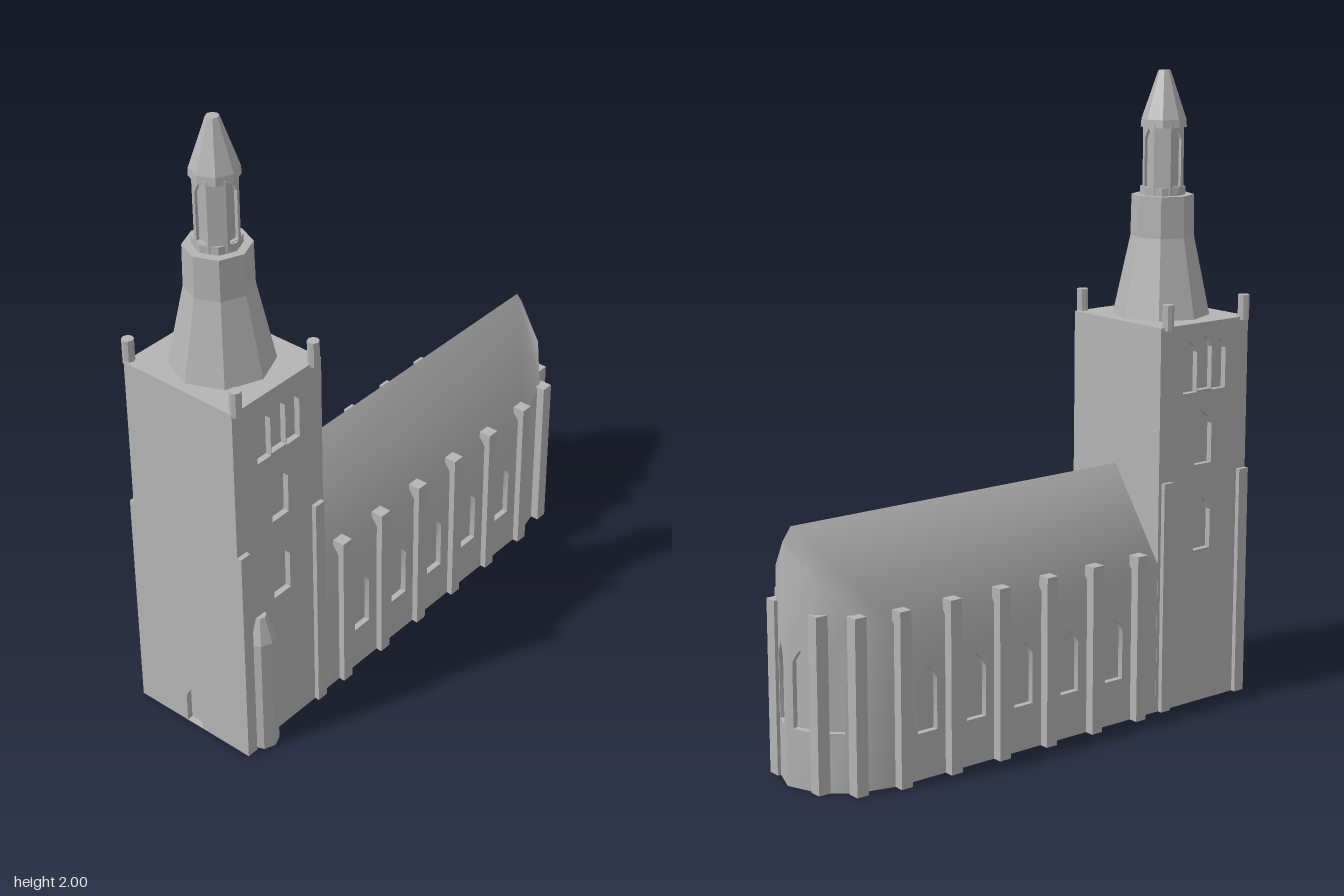
import * as THREE from 'three';
import { mergeGeometries, toCreasedNormals } from 'three/addons/utils/BufferGeometryUtils.js';

const stone = new THREE.MeshStandardMaterial({ color: 0xb4b4b4 });
stone.name = 'grey stone';

const ZC = -0.005; // long axis of the building

function add(parent, name, geo, x = 0, y = 0, z = 0) {
  const mesh = new THREE.Mesh(geo, stone);
  mesh.name = name;
  mesh.position.set(x, y, z);
  parent.add(mesh);
  return mesh;
}

// pointed-arch hole: centre u, width w, sill, shoulder and tip heights
function archHole([u, w, sill, shoulder, tip]) {
  const h = w / 2;
  return new THREE.Path([
    [u - h, sill], [u + h, sill], [u + h, shoulder], [u + h * 0.55, shoulder + (tip - shoulder) * 0.55],
    [u, tip], [u - h * 0.55, shoulder + (tip - shoulder) * 0.55], [u - h, shoulder],
  ].map(p => new THREE.Vector2(...p)));
}

// upright wall from a to b ([x, z], left to right seen from outside) with recessed windows
function wall(a, b, y0, ha, hb, windows = [], depth = 0.02) {
  const dx = b[0] - a[0], dz = b[1] - a[1], len = Math.hypot(dx, dz);
  const outline = [[0, y0], [len, y0], [len, hb], [0, ha]].map(p => new THREE.Vector2(...p));
  const shape = new THREE.Shape(outline);
  shape.holes = windows.map(archHole);
  const parts = [new THREE.ExtrudeGeometry(shape, { depth, bevelEnabled: false }).translate(0, 0, -depth)];
  if (windows.length) {
    const back = new THREE.ShapeGeometry(new THREE.Shape(outline)).toNonIndexed();
    parts.push(back.translate(0, 0, -depth + 0.001));
  }
  return mergeGeometries(parts).rotateY(Math.atan2(-dz, dx)).translate(a[0], 0, a[1]);
}

function triangles(points) {
  const g = new THREE.BufferGeometry();
  g.setAttribute('position', new THREE.Float32BufferAttribute(points.flat(), 3));
  g.setAttribute('uv', new THREE.Float32BufferAttribute(new Array(points.length * 2).fill(0), 2));
  g.computeVertexNormals();
  return g;
}

// eight-sided tapering drum with a corner facing front
function octagon(parent, name, rTop, rBottom, y0, y1, x, z) {
  const g = new THREE.CylinderGeometry(rTop, rBottom, y1 - y0, 8).toNonIndexed();
  g.computeVertexNormals();
  return add(parent, name, g, x, (y0 + y1) / 2, z);
}

function createNave() {
  const nave = new THREE.Group();
  nave.name = 'nave';
  // half footprint from the tower to the tip of the apse: x, z, wall height
  const half = [[-0.445, 0.203, 0.488], [0.56, 0.203, 0.488], [0.69, 0.17, 0.535], [0.77, 0.1, 0.634], [0.808, 0, 0.735]];
  const ring = [...half, ...half.slice(0, 4).reverse().map(([x, z, h]) => [x, -z, h])];

  const sideWindows = [0.178, 0.358, 0.538, 0.717, 0.897].map(u => [u, 0.07, 0.143, 0.3, 0.345]);
  const apseWindow = [[0.053, 0.055, 0.18, 0.38, 0.42]];
  const windows = [sideWindows, [], apseWindow, apseWindow, apseWindow, apseWindow, [],
    sideWindows.map(w => [1.005 - w[0], ...w.slice(1)])];
  const parts = windows.map((w, i) => wall(ring[i], ring[i + 1], 0, ring[i][2], ring[i + 1][2], w));

  // gabled roof running into the pointed apse
  const west = [-0.445, 0.775, 0], east = [0.78, 0.775, 0];
  const roof = [];
  for (const s of [1, -1]) {
    const p = half.map(([x, z, h]) => [x, h, z * s]);
    const tris = [[west, p[0], p[1]], [west, p[1], east], [east, p[1], p[2]], [east, p[2], p[3]], [east, p[3], p[4]]];
    for (const t of tris) roof.push(...(s > 0 ? t : t.reverse()));
  }
  parts.push(triangles(roof));
  add(nave, 'naveWallsAndRoof', toCreasedNormals(mergeGeometries(parts), 0.7), 0, 0, ZC);

  const floor = new THREE.ShapeGeometry(new THREE.Shape(ring.map(([x, z]) => new THREE.Vector2(x, z))));
  add(nave, 'naveFloor', floor.rotateX(Math.PI / 2), 0, 0.001, ZC);

  // buttresses along the sides and around the apse
  const spots = [];
  for (let i = 0; i < 6; i++) spots.push([-0.357 + i * 0.181, 0.198], [-0.357 + i * 0.181, -0.218]);
  spots.push([0.69, 0.177], [0.767, 0.1], [0.685, -0.19], [0.763, -0.11]);
  for (const [x, z] of spots) add(nave, 'buttress', new THREE.BoxGeometry(0.04, 0.535, 0.04), x, 0.2675, z);
  return nave;
}

function createTower() {
  const tower = new THREE.Group();
  tower.name = 'tower';
  const x0 = -0.815, x1 = -0.445, d = 0.204, top = 1.235;
  const windows = [
    [0.185, 0.07, 0.505, 0.63, 0.675], [0.185, 0.07, 0.783, 0.91, 0.952],
    [0.124, 0.057, 1.017, 1.145, 1.18], [0.185, 0.06, 1.022, 1.155, 1.195], [0.246, 0.057, 1.017, 1.145, 1.18],
  ];
  const c = [[x0, d], [x1, d], [x1, -d], [x0, -d]];
  const door = [[d, 0.06, 0.002, 0.1, 0.14]];
  [windows, [], windows, door].forEach((w, i) =>
    add(tower, 'towerWall', wall(c[i], c[(i + 1) % 4], 0, top, top, w), 0, 0, ZC));
  add(tower, 'towerTop', new THREE.BoxGeometry(x1 - x0, 0.02, d * 2), -0.63, top - 0.01, ZC);
  add(tower, 'towerFloor', new THREE.BoxGeometry(x1 - x0 - 0.002, 0.001, d * 2 - 0.002), -0.63, 0.0005, ZC);

  // corner buttresses and pinnacles
  for (const s of [1, -1]) {
    for (const x of [-0.796, -0.475]) {
      add(tower, 'cornerButtress', new THREE.BoxGeometry(0.038, 0.745, 0.04), x, 0.3725, ZC + s * 0.199);
      octagon(tower, 'pinnacle', 0.018, 0.018, top - 0.01, 1.305, x, ZC + s * 0.202);
    }
  }

  // stair turret
  octagon(tower, 'stairTurret', 0.048, 0.048, 0, 0.4, -0.728, 0.195);
  octagon(tower, 'stairTurretCap', 0.021, 0.048, 0.4, 0.483, -0.728, 0.195);
  return tower;
}

function createSpire() {
  const spire = new THREE.Group();
  spire.name = 'spire';
  spire.position.set(-0.63, 0, ZC);
  octagon(spire, 'spireSkirt', 0.1, 0.153, 1.235, 1.485, 0, 0);
  octagon(spire, 'spireDrum', 0.098, 0.1, 1.485, 1.615, 0, 0);
  octagon(spire, 'lanternBase', 0.071, 0.071, 1.615, 1.64, 0, 0);

  // open lantern with four arched windows
  const R = 0.068, side = 2 * R * Math.sin(Math.PI / 8);
  const corner = k => [R * Math.sin((k - 0.5) * Math.PI / 4), R * Math.cos((k - 0.5) * Math.PI / 4)];
  for (let k = 0; k < 8; k++) {
    const w = k % 2 ? [] : [[side / 2, 0.034, 1.642, 1.79, 1.822]];
    add(spire, 'lanternWall', wall(corner(k), corner(k + 1), 1.615, 1.835, 1.835, w, 0.012));
  }
  octagon(spire, 'spireEaves', 0.07, 0.072, 1.825, 1.85, 0, 0);
  octagon(spire, 'spireCap', 0.019, 0.07, 1.85, 2, 0, 0);
  return spire;
}

export function createModel() {
  const model = new THREE.Group();
  model.name = 'church';
  model.add(createNave(), createTower(), createSpire());
  return model;
}
